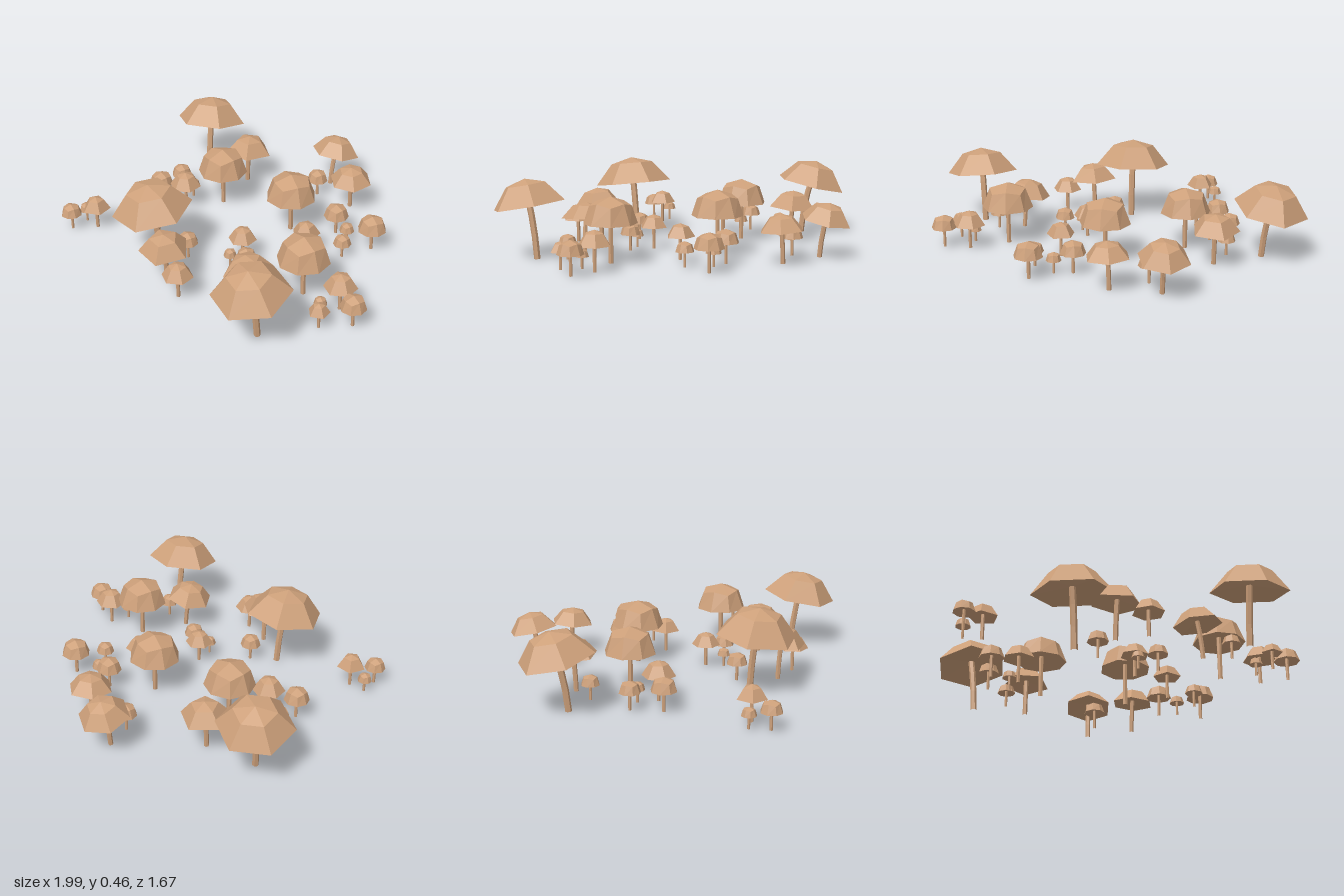
import * as THREE from 'three';

const tan = new THREE.MeshStandardMaterial({ color: 0xcda07a, flatShading: true });
tan.name = 'mushroom tan';

// Wide caps: x, z, radius, sides, turn in degrees, lean x, lean z
const WIDE = [
  [-0.815, -0.295, 0.205, 6, 25, -0.13, -0.2],
  [-0.215, 0.58, 0.218, 6, 0, -0.05, 0.13],
  [0.68, 0.64, 0.205, 6, 13, 0.03, 0.18],
  [-0.5, -0.33, 0.135, 5, -25, 0, -0.08],
  [0.43, 0.455, 0.132, 6, -5, -0.15, 0.05],
  [0.01, 0.67, 0.138, 5, -88, 0.05, 0.08],
  [-0.145, -0.705, 0.14, 6, 28, 0, -0.22],
  [0.12, -0.575, 0.122, 6, -25, 0.04, 0.05],
];

// Small angular caps: x, z, radius, sides
const ANGULAR = [
  [-0.51, 0.14, 0.09, 6], [-0.655, 0.66, 0.08, 5], [0.165, 0.705, 0.085, 6],
  [0.11, 0.225, 0.078, 6], [0.785, 0.14, 0.09, 6], [0.825, 0.325, 0.058, 5],
  [0.298, -0.065, 0.08, 5],
];

// Round caps: x, z, radius
const ROUND = [
  [-0.4, -0.05, 0.14], [0.565, 0.195, 0.142], [0.068, -0.16, 0.142],
  [-0.6, -0.2, 0.05], [-0.68, 0.04, 0.058], [-0.565, 0.043, 0.04],
  [-0.65, 0.21, 0.07], [-0.735, 0.775, 0.058], [-0.75, 0.668, 0.04],
  [0.6, 0.45, 0.05], [-0.085, 0.45, 0.058], [0.23, 0.3, 0.056],
  [0.125, 0.325, 0.036], [0.925, 0.185, 0.07], [0.75, 0.245, 0.036],
  [0.265, -0.325, 0.07], [0.367, -0.31, 0.042], [0.505, -0.365, 0.08],
  [0.455, -0.19, 0.05], [-0.105, -0.525, 0.06],
];

// Faceted dome: tip, shoulder ring, brim ring and a hollowed underside
function capGeometry(r, h, sides, turn) {
  const round = sides === 8;
  const points = [0, h, 0];
  const addRing = (radiusAt, heightAt) => {
    const first = points.length / 3;
    for (let i = 0; i < sides; i++) {
      const a = THREE.MathUtils.degToRad(turn) + (i / sides) * Math.PI * 2;
      const rr = r * radiusAt(i);
      points.push(Math.cos(a) * rr, h * heightAt(i), Math.sin(a) * rr);
    }
    return first;
  };
  // round caps alternate their shoulder like a rounded cube
  const up = addRing(
    (i) => (round ? 0.7 + 0.08 * (i % 2) : 0.55),
    (i) => (round ? 0.78 - 0.12 * (i % 2) : 0.78));
  const low = addRing(() => 1, () => 0);
  const under = points.length / 3;
  points.push(0, h * 0.25, 0);

  const index = [];
  for (let i = 0; i < sides; i++) {
    const j = (i + 1) % sides;
    index.push(0, up + j, up + i);
    index.push(up + i, up + j, low + j, up + i, low + j, low + i);
    index.push(under, low + i, low + j);
  }
  const indexed = new THREE.BufferGeometry();
  indexed.setAttribute('position', new THREE.Float32BufferAttribute(points, 3));
  indexed.setIndex(index);
  const geo = indexed.toNonIndexed();
  geo.computeVertexNormals();
  return geo;
}

function mushroom(name, x, z, r, top, brim, sides, turn, lx = 0, lz = 0) {
  const group = new THREE.Group();
  group.name = name;
  const h = top - brim;

  const cap = new THREE.Mesh(capGeometry(r, h, sides, turn), tan);
  cap.name = 'cap';
  cap.position.set(x, brim, z);
  cap.quaternion.setFromUnitVectors(
    new THREE.Vector3(0, 1, 0), new THREE.Vector3(lx, 1, lz).normalize());

  // Stem bends gently into the cap
  const bx = x - lx * brim * 0.8, bz = z - lz * brim * 0.8;
  const path = new THREE.QuadraticBezierCurve3(
    new THREE.Vector3(bx, 0, bz),
    new THREE.Vector3(bx + lx * brim * 0.2, brim * 0.6, bz + lz * brim * 0.2),
    new THREE.Vector3(x + lx * h * 0.4, brim + h * 0.4, z + lz * h * 0.4));
  const stem = new THREE.Mesh(
    new THREE.TubeGeometry(path, 3, 0.005 + r * 0.06, 6, false), tan);
  stem.name = 'stem';

  group.add(cap, stem);
  return group;
}

export function createModel() {
  const model = new THREE.Group();
  model.name = 'mushroomPatch';

  // Height grows with the cap radius
  WIDE.forEach(([x, z, r, sides, turn, lx, lz]) => {
    const top = 0.02 + 2 * r;
    model.add(mushroom('wideMushroom', x, z, r, top, top * 0.67, sides, turn, lx, lz));
  });
  ANGULAR.forEach(([x, z, r, sides]) => {
    const top = 0.02 + 2.2 * r;
    model.add(mushroom('angularMushroom', x, z, r, top, top * 0.63, sides, 20));
  });
  ROUND.forEach(([x, z, r], i) => {
    const top = 0.02 + 2.35 * r;
    model.add(mushroom('roundMushroom', x, z, r, top, top * 0.6, 8, (i % 3) * 10));
  });
  return model;
}
